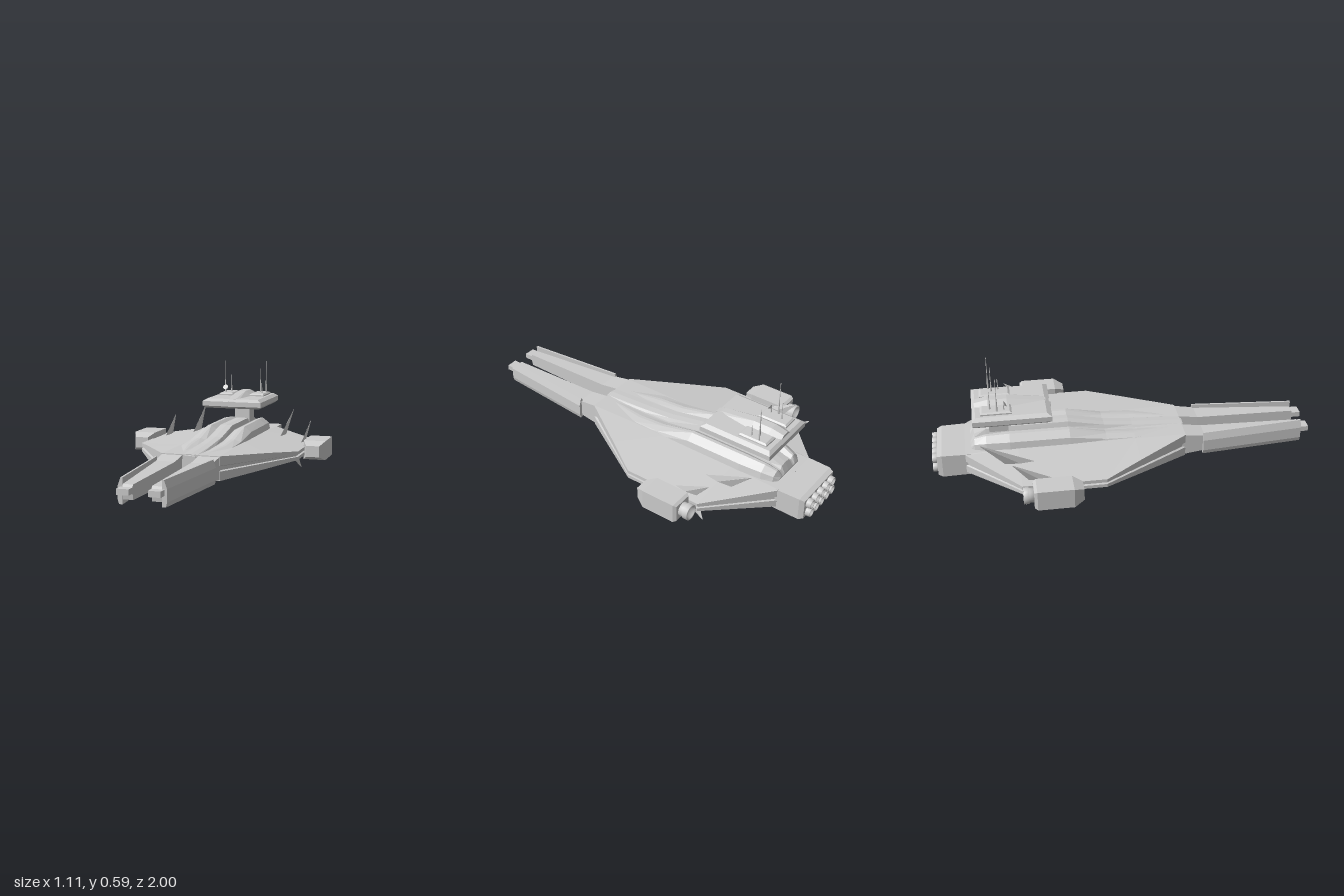
import * as THREE from 'three';

const grey = new THREE.MeshStandardMaterial({ color: 0xcccccc, flatShading: true });
const smooth = new THREE.MeshStandardMaterial({ color: 0xcccccc });

// Closed solid through a list of equal-length rings of [x, y, z]
function loft(rings) {
  const n = rings[0].length, pos = rings.flat(2), idx = [];
  for (let r = 0; r < rings.length - 1; r++) {
    for (let i = 0; i < n; i++) {
      const a = r * n + i, b = r * n + (i + 1) % n;
      idx.push(a, b, a + n, b, b + n, a + n);
    }
  }
  const cap = (r, flip) => {
    const ring = rings[r];
    const flatZ = ring.every(p => Math.abs(p[2] - ring[0][2]) < 1e-6);
    const pts = ring.map(p => new THREE.Vector2(p[0], flatZ ? p[1] : p[2]));
    const ccw = !THREE.ShapeUtils.isClockWise(pts);
    for (const t of THREE.ShapeUtils.triangulateShape(pts, [])) {
      // match the ring's own direction
      const [a, b, c] = t.map(i => pts[i]);
      const triCcw = (b.x - a.x) * (c.y - a.y) - (b.y - a.y) * (c.x - a.x) > 0;
      const f = triCcw === ccw ? t : [t[0], t[2], t[1]];
      const o = f.map(i => i + r * n);
      idx.push(...(flip ? [o[0], o[2], o[1]] : o));
    }
  };
  cap(0, true);
  cap(rings.length - 1, false);
  // turn the faces outward
  let vol = 0;
  const v = i => new THREE.Vector3().fromArray(pos, idx[i] * 3);
  for (let i = 0; i < idx.length; i += 3) vol += v(i).dot(v(i + 1).cross(v(i + 2)));
  if (vol < 0) idx.reverse();
  const g = new THREE.BufferGeometry();
  g.setAttribute('position', new THREE.Float32BufferAttribute(pos, 3));
  g.setIndex(idx);
  const flat = g.toNonIndexed();
  flat.computeVertexNormals();
  return flat;
}

// Ring across x from the right half of a section
const mirrored = (half, z) => [
  ...half.map(([x, y]) => [x, y, z]),
  ...half.filter(p => p[0] > 0).reverse().map(([x, y]) => [-x, y, z]),
];
const rectXY = (cx, cy, hx, hy, z) =>
  [[cx - hx, cy - hy, z], [cx + hx, cy - hy, z], [cx + hx, cy + hy, z], [cx - hx, cy + hy, z]];
const rectXZ = (hx, z0, z1, y) => [[-hx, y, z0], [hx, y, z0], [hx, y, z1], [-hx, y, z1]];

export function createModel() {
  const model = new THREE.Group();
  const add = (name, geo, mat = grey) => {
    const m = new THREE.Mesh(geo, mat);
    m.name = name;
    model.add(m);
    return m;
  };
  const rod = (name, x, y0, y1, z, r) =>
    add(name, new THREE.CylinderGeometry(r * 0.6, r, y1 - y0, 8), smooth).position.set(x, (y0 + y1) / 2, z);

  // Main hull: broad wing with a recessed edge band and a keel
  const hull = [ // z, half width, edge top, edge bottom, keel height
    [0.315, 0.155, 0.2, 0.075, 0.075],
    [0.05, 0.323, 0.182, 0.1, 0.028],
    [-0.14, 0.445, 0.166, 0.12, 0.02],
    [-0.35, 0.445, 0.166, 0.12, 0.02],
    [-0.56, 0.445, 0.166, 0.12, 0.042],
    [-0.83, 0.155, 0.187, 0.085, 0.072],
  ];
  add('hull', loft(hull.map(([z, w, top, bot, keel]) => {
    const d = 0.075 - keel, h = top - bot, centre = z < -0.8 ? 0.19 : 0.2;
    return mirrored([
      [0, centre], [0.148, centre], [w, top],
      [w, bot + h * 0.62], [w - 0.012, bot + h * 0.58], [w - 0.012, bot + h * 0.42], [w, bot + h * 0.38],
      [w, bot], [0.14, 0.075 - d * 0.25], [0.1, 0.075 - d * 0.7], [0.05, keel], [0, keel],
    ], z);
  })));

  // Raised back: central spine with a shoulder on either side
  const back = [ // z, spine height, shoulder half width, shoulder height
    [0.31, 0.202, 0.075, 0.197],
    [0.05, 0.216, 0.15, 0.208],
    [-0.1, 0.23, 0.152, 0.218],
    [-0.29, 0.268, 0.154, 0.262],
    [-0.6, 0.268, 0.154, 0.264],
    [-0.72, 0.262, 0.14, 0.255],
    [-0.78, 0.24, 0.12, 0.235],
    [-0.8, 0.2, 0.1, 0.2],
  ];
  add('spine', loft(back.map(([z, h, w, s]) => {
    const k = (s - 0.19) * 0.25;
    return mirrored([
      [0, h], [0.035, h - 0.002], [0.045, s - k * 1.2], [0.055, s - k * 1.2], [w * 0.5 + 0.01, s],
      [w * 0.68, s], [w * 0.93, 0.19 + (s - 0.19) * 0.6], [w, 0.185], [0, 0.185],
    ], z);
  })));

  // Rounded nose of the spine between the prongs
  add('spineNose', loft([
    mirrored([[0, 0.2], [0.03, 0.197], [0.043, 0.18], [0.043, 0.085], [0, 0.076]], 0.3),
    mirrored([[0, 0.196], [0.028, 0.193], [0.04, 0.176], [0.04, 0.09], [0, 0.08]], 0.325),
  ]));

  // Engine block and its two rows of nozzles
  add('engineBlock', loft([
    rectXY(0, 0.131, 0.155, 0.059, -0.8),
    rectXY(0, 0.127, 0.15, 0.062, -0.95),
    rectXY(0, 0.127, 0.14, 0.054, -0.975),
  ]));
  for (const y of [0.1, 0.152]) {
    for (let i = -2; i <= 2; i++) {
      const nozzle = add('engineNozzle', new THREE.LatheGeometry(
        [[0, -0.02], [0.021, -0.02], [0.025, 0], [0.024, 0.02], [0.019, 0.02], [0.014, 0.002], [0, 0.002]]
          .map(p => new THREE.Vector2(...p)), 16), smooth);
      nozzle.rotation.x = -Math.PI / 2;
      nozzle.position.set(i * 0.052, y, -0.98);
    }
  }

  // Paired parts
  for (const s of [1, -1]) {
    const side = s > 0 ? 'left' : 'right';
    const flip = rings => loft(rings.map(r => r.map(([x, y, z]) => [s * x, y, z])));

    // Forward prong, with a small tip
    const prong = (xi, xo, y0, y1, z) => rectXY((xi + xo) / 2, (y0 + y1) / 2, (xo - xi) / 2, (y1 - y0) / 2, z);
    add(side + 'Prong', flip([
      prong(0.042, 0.154, 0.078, 0.199, 0.29), prong(0.042, 0.148, 0.092, 0.18, 0.42),
      prong(0.045, 0.108, 0.1, 0.17, 0.95), prong(0.045, 0.106, 0.13, 0.158, 0.955),
      prong(0.045, 0.105, 0.13, 0.158, 1),
    ]));

    // Armour plate along the outer face of the prong
    add(side + 'ProngPlate', flip([[0.166, 0.41], [0.117, 0.955]].map(([x, z]) => [
      [x - 0.024, 0.2, z], [x - 0.014, 0.2, z], [x, 0.16, z], [x, 0.1, z],
      [x - 0.006, 0.078, z], [x - 0.024, 0.078, z],
    ])));

    // Wingtip pod with its thruster
    add(side + 'Pod', flip([[-0.265, 0.036, 0.03], [-0.315, 0.06, 0.052], [-0.495, 0.06, 0.052], [-0.51, 0.05, 0.044]]
      .map(([z, hx, hy]) => rectXY(0.495, 0.147, hx, hy, z))));
    const thruster = add(side + 'PodThruster', new THREE.LatheGeometry(
      [[0, -0.04], [0.036, -0.04], [0.036, 0], [0.041, 0.005], [0.041, 0.03], [0.032, 0.03], [0.026, 0.01], [0, 0.01]]
        .map(p => new THREE.Vector2(...p)), 20), smooth);
    thruster.rotation.x = -Math.PI / 2;
    thruster.position.set(s * 0.495, 0.147, -0.53);

    // Swept fins: base x, y, front z, back z, then tip x, y, z
    const fins = {
      InnerFin: [0.26, 0.18, -0.47, -0.63, 0.274, 0.31, -0.75],
      OuterFin: [0.4, 0.165, -0.39, -0.52, 0.411, 0.27, -0.6],
      LowerFin: [0.352, 0.11, -0.34, -0.5, 0.372, 0.004, -0.545],
    };
    for (const [name, [x, y, zf, zb, tx, ty, tz]] of Object.entries(fins)) {
      const m = (zf + zb) / 2;
      add(side + name, flip([
        [[x, y, zf], [x + 0.01, y, m], [x, y, zb], [x - 0.01, y, m]],
        [[tx, ty, tz + 0.003], [tx + 0.001, ty, tz], [tx, ty, tz - 0.003], [tx - 0.001, ty, tz]],
      ]));
    }

    // Equipment pad on the command deck
    const pad = add(side + 'DeckPad', loft([
      rectXZ(0.042, -0.08, 0.08, 0.392), rectXZ(0.042, -0.08, 0.08, 0.405), rectXZ(0.034, -0.07, 0.07, 0.412),
    ]));
    pad.position.set(s * 0.092, 0, -0.66);
  }

  // Neck and command deck
  add('neck', new THREE.BoxGeometry(0.088, 0.11, 0.1)).position.set(0, 0.3, -0.65);
  add('commandDeck', loft([
    rectXZ(0.155, -0.765, -0.4, 0.345), rectXZ(0.17, -0.782, -0.38, 0.358),
    rectXZ(0.17, -0.782, -0.38, 0.384), rectXZ(0.148, -0.765, -0.405, 0.398),
  ]));
  add('deckRidge', loft([[-0.4, 0.03, 0.397], [-0.6, 0.035, 0.425], [-0.7, 0.035, 0.425], [-0.768, 0.03, 0.41]]
    .map(([z, w, h]) => mirrored([[0, h], [w * 0.6, h], [w + (h - 0.39), 0.39], [0, 0.38]], z))));
  add('deckFrontBlock', new THREE.BoxGeometry(0.036, 0.03, 0.012)).position.set(0, 0.371, -0.381);

  // Antennas: thick foot with a thin mast
  for (const [x, z, top] of [[-0.118, -0.655, 0.595], [-0.09, -0.69, 0.51], [0.09, -0.675, 0.552], [0.12, -0.69, 0.595], [0.108, -0.64, 0.47]]) {
    rod('antennaFoot', x, 0.405, 0.405 + (top - 0.405) * 0.4, z, 0.005);
    rod('antennaMast', x, 0.42, top, z, 0.0025);
  }

  // Small dish
  rod('dishPost', -0.105, 0.41, 0.435, -0.62, 0.004);
  const dish = add('dish', new THREE.ConeGeometry(0.015, 0.012, 14), smooth);
  dish.position.set(-0.105, 0.44, -0.617);
  dish.rotation.x = -2.1;

  return model;
}
